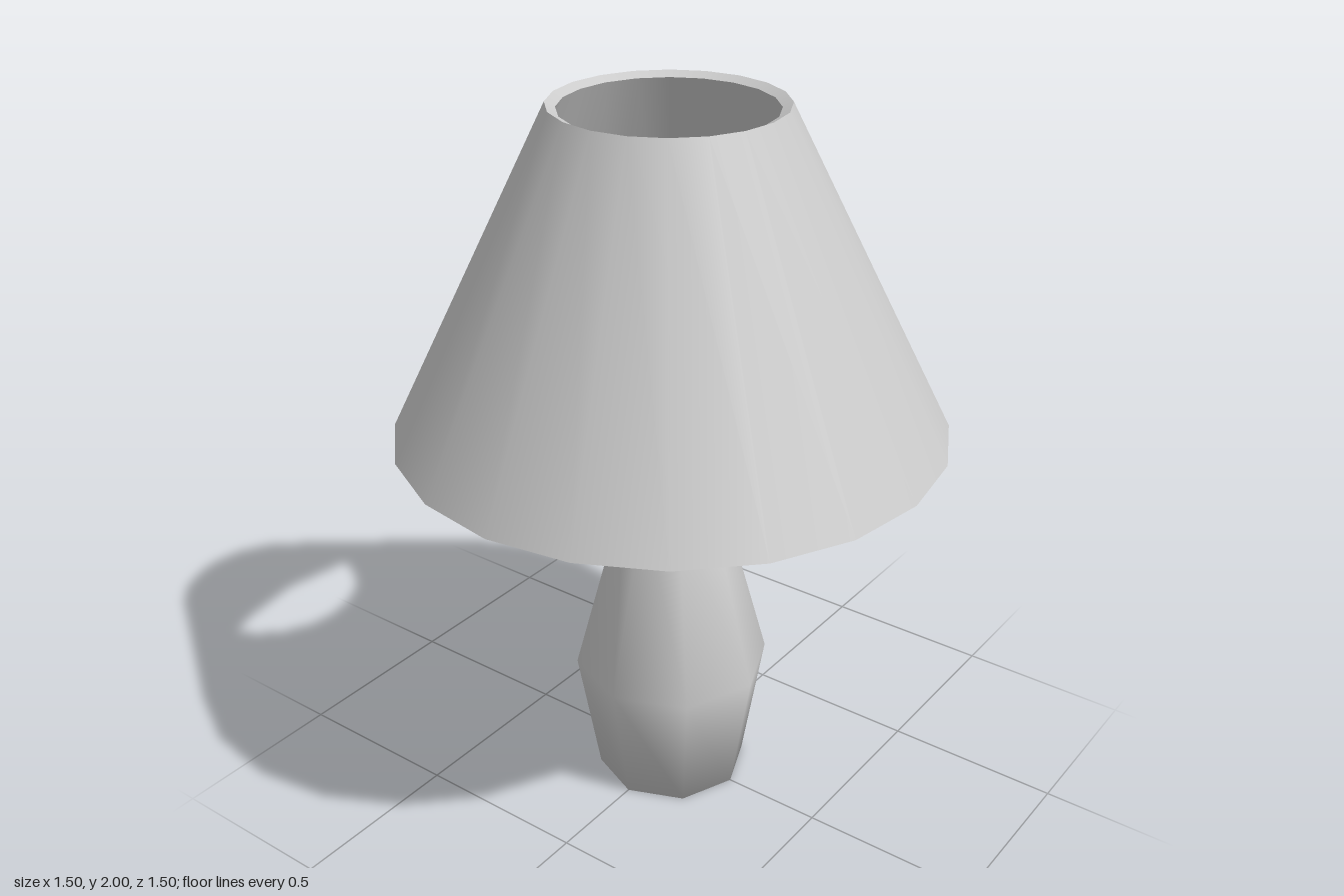
import * as THREE from 'three';

const grey = new THREE.MeshStandardMaterial({ color: 0xcccccc });
const greyFlat = new THREE.MeshStandardMaterial({ color: 0xcccccc, flatShading: true });

function part(name, geometry, material = grey) {
  const mesh = new THREE.Mesh(geometry, material);
  mesh.name = name;
  return mesh;
}

// Revolve a [radius, height] profile around the y axis
const lathe = (profile, sides) =>
  new THREE.LatheGeometry(profile.map(([r, y]) => new THREE.Vector2(r, y)), sides);

export function createModel() {
  const lamp = new THREE.Group();
  lamp.name = 'tableLamp';

  // Faceted vase-like base, softly shaded across its caps
  lamp.add(part('base', lathe([[0, 0], [0.215, 0], [0.277, 0.37], [0.13, 0.92], [0, 0.92]], 8)));

  // Octagonal stem rising into the shade
  const stem = part('stem', new THREE.CylinderGeometry(0.04, 0.04, 0.72, 8), greyFlat);
  stem.rotation.y = Math.PI / 8;
  stem.position.y = 1.25;
  lamp.add(stem);

  // Thin-walled conical shade: each wall and rim is its own band, so the rims stay crisp
  const corners = [[0.75, 1.115], [0.307, 2], [0.28, 1.987], [0.723, 1.1]];
  const shade = new THREE.Group();
  shade.name = 'shade';
  ['shadeOuter', 'shadeTopRim', 'shadeInner', 'shadeBottomRim'].forEach((name, i) => {
    const geometry = lathe([corners[i], corners[(i + 1) % 4]], 20);
    // The top opening sits very slightly off centre
    const p = geometry.attributes.position;
    for (let k = 0; k < p.count; k++) p.setX(k, p.getX(k) - 0.009 * (p.getY(k) - 1.1) / 0.9);
    shade.add(part(name, geometry));
  });
  lamp.add(shade);

  // Cross bar carrying the shade; its rear tip just pierces the wall
  const rear = 0.525, front = 0.48;
  const barGeometry = new THREE.BoxGeometry(0.035, 0.035, rear + front);
  barGeometry.translate(0, 0, (front - rear) / 2);
  const bar = part('crossBar', barGeometry, greyFlat);
  bar.position.y = 1.572;
  bar.rotation.y = -Math.atan2(0.17, 0.49);
  lamp.add(bar);

  return lamp;
}
